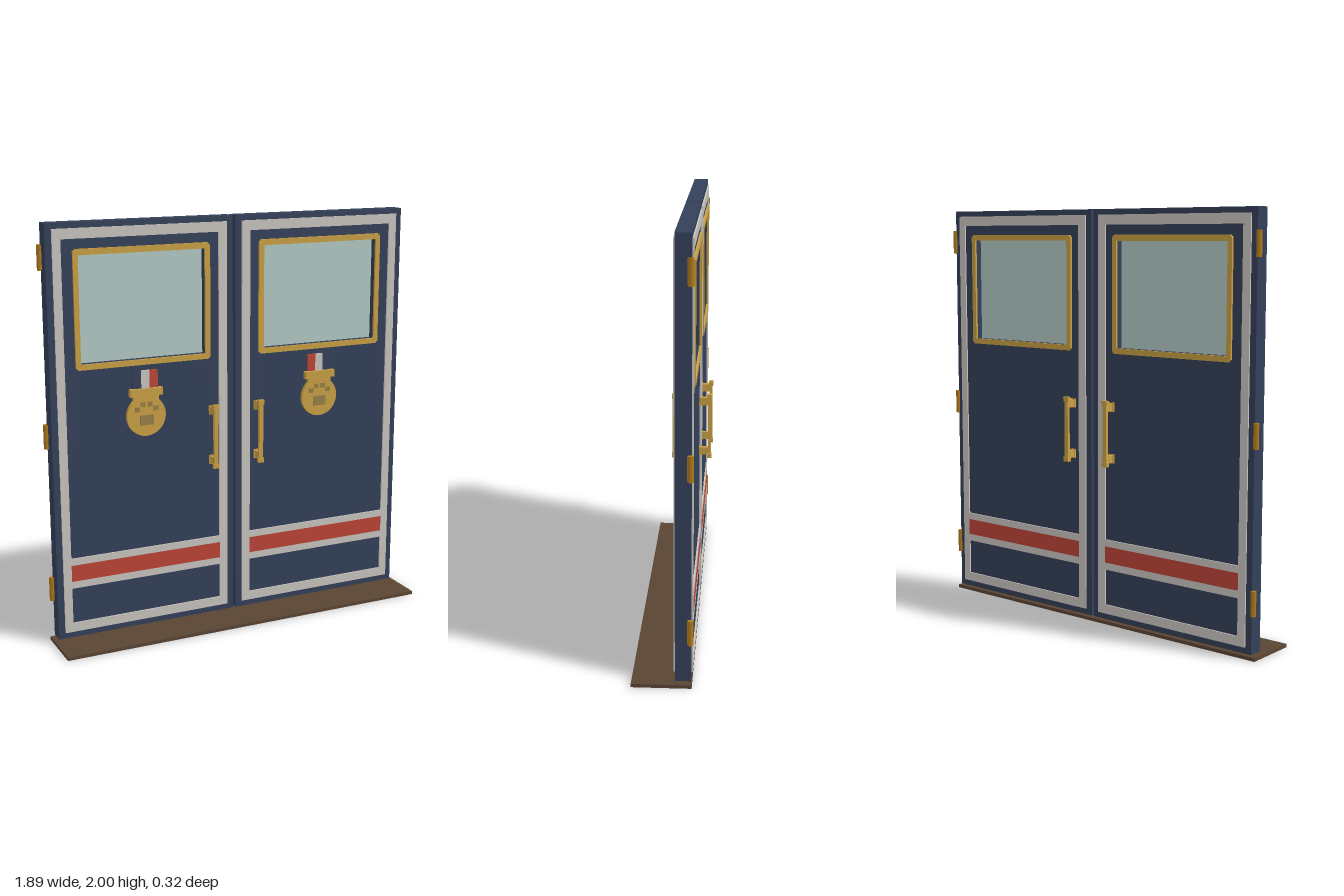
import * as THREE from 'three';

const mat = (name, color) => {
  const m = new THREE.MeshStandardMaterial({ color });
  m.name = name;
  return m;
};

export function createModel() {
  const M = {
    navy: mat('navy paint', 0x344059),
    cream: mat('pale trim', 0xc9c5c0),
    red: mat('red stripe', 0xbd4438),
    gold: mat('gold', 0xc9a044),
    darkGold: mat('dark gold', 0x9a8048),
    bronze: mat('hinge bronze', 0xb07a1c),
    glass: mat('glass', 0xb3c9c3),
    brown: mat('sill brown', 0x5a4533),
  };
  const model = new THREE.Group();
  model.name = 'doubleDoor';

  const FRONT = -0.033, BACK = -0.104, MID = (FRONT + BACK) / 2;

  const add = (parent, name, geo, material, x = 0, y = 0, z = 0) => {
    const mesh = new THREE.Mesh(geo, material);
    mesh.name = name;
    mesh.position.set(x, y, z);
    parent.add(mesh);
    return mesh;
  };
  // box given by its limits
  const box = (parent, name, material, x0, x1, y0, y1, z0, z1) =>
    add(parent, name, new THREE.BoxGeometry(Math.abs(x1 - x0), y1 - y0, z1 - z0), material,
      (x0 + x1) / 2, (y0 + y1) / 2, (z0 + z1) / 2);
  // rectangle outline with optional cut corners
  const rect = (x0, x1, y0, y1, c = 0) => (c
    ? [[x0 + c, y0], [x1 - c, y0], [x1, y0 + c], [x1, y1 - c], [x1 - c, y1], [x0 + c, y1], [x0, y1 - c], [x0, y0 + c]]
    : [[x0, y0], [x1, y0], [x1, y1], [x0, y1]]).map(([x, y]) => new THREE.Vector2(x, y));
  // extruded panel with one opening
  const ring = (parent, name, material, outer, inner, z0, z1) => {
    const shape = new THREE.Shape(outer);
    shape.holes.push(new THREE.Path(inner));
    return add(parent, name, new THREE.ExtrudeGeometry(shape, { depth: z1 - z0, bevelEnabled: false }), material, 0, 0, z0);
  };

  // trim on one face; dir is +1 for the front and -1 for the back
  const faceTrim = (leaf, dir) => {
    const face = dir > 0 ? FRONT : BACK;
    const span = (d) => (dir > 0 ? [face, face + d] : [face - d, face]);
    ring(leaf, 'borderTrim', M.cream, rect(0.04, 0.895, 0.055, 1.974), rect(0.083, 0.855, 0.1, 1.927), ...span(0.007));
    box(leaf, 'upperBand', M.cream, 0.083, 0.855, 0.39, 0.424, ...span(0.007));
    box(leaf, 'redBand', M.red, 0.083, 0.855, 0.31, 0.39, ...span(0.007));
    box(leaf, 'lowerBand', M.cream, 0.083, 0.855, 0.275, 0.31, ...span(0.007));
    ring(leaf, 'windowFrame', M.gold, rect(0.129, 0.802, 1.327, 1.881, 0.012), rect(0.155, 0.778, 1.353, 1.853), ...span(0.011));

    // pull handle
    const handle = new THREE.Group();
    handle.name = 'pullHandle';
    handle.position.set(0.121, 0.948, face);
    if (dir < 0) handle.rotation.y = Math.PI;
    leaf.add(handle);
    box(handle, 'grip', M.gold, -0.011, 0.011, -0.15, 0.15, 0.042, 0.056);
    for (const s of [-1, 1]) {
      const y = s * 0.124;
      box(handle, 'mount', M.gold, -0.011, 0.011, y - 0.018, y + 0.018, 0, 0.045);
      box(handle, 'gripEnd', M.gold, -0.015, 0.015, s * 0.147 - 0.011, s * 0.147 + 0.011, 0.039, 0.059);
      box(handle, 'mountPlate', M.gold, -0.015, 0.015, y - 0.022, y + 0.022, 0, 0.008);
    }
  };

  // medal with ribbon, coin and paw relief
  const medal = (leaf, side) => {
    const g = new THREE.Group();
    g.name = 'medal';
    g.position.set(0.465, 1.083, FRONT);
    leaf.add(g);
    [M.red, M.cream, M.navy].forEach((m, i) => {
      const x = (i - 1) * 0.042;
      box(g, 'ribbonStripe', m, x - 0.021, x + 0.021, 0.125, 0.217, 0, 0.009);
    });
    const coin = add(g, 'coin', new THREE.CylinderGeometry(0.098, 0.098, 0.018, 24), M.gold, 0, 0, 0.009);
    coin.rotation.x = Math.PI / 2;
    box(g, 'neck', M.gold, -0.064, 0.064, 0.07, 0.105, 0, 0.018);
    box(g, 'clasp', M.gold, -0.082, 0.082, 0.096, 0.132, 0, 0.024);
    box(g, 'pawPad', M.darkGold, -0.034, 0.034, -0.044, 0.004, 0.014, 0.023);
    for (const [x, y] of [[-0.047, 0.034], [-0.018, 0.056], [0.018, 0.056], [0.047, 0.034]]) {
      box(g, 'pawToe', M.darkGold, x - 0.011, x + 0.011, y - 0.011, y + 0.011, 0.014, 0.023);
    }
  };

  // leaf built on the +x side; the other one uses negated x positions
  const buildLeaf = () => {
    const leaf = new THREE.Group();
    ring(leaf, 'doorPanel', M.navy, rect(0.007, 0.926, 0.025, 2), rect(0.155, 0.778, 1.353, 1.853), BACK, FRONT);
    box(leaf, 'windowGlass', M.glass, 0.15, 0.783, 1.348, 1.858, MID - 0.006, MID + 0.006);
    faceTrim(leaf, 1);
    faceTrim(leaf, -1);
    medal(leaf);
    for (const y of [0.262, 1.013, 1.843]) {
      add(leaf, 'hingeBarrel', new THREE.CylinderGeometry(0.013, 0.013, 0.116, 8), M.bronze, 0.932, y, -0.101);
      box(leaf, 'hingeLeaf', M.bronze, 0.92, 0.932, y - 0.055, y + 0.055, -0.104, -0.086);
    }
    return leaf;
  };

  const left = buildLeaf();
  left.name = 'leftDoor';
  const right = buildLeaf();
  right.name = 'rightDoor';
  right.scale.x = -1;
  model.add(left, right);

  // floor sill
  box(model, 'sill', M.brown, -0.947, 0.947, 0, 0.016, -0.108, 0.16);
  return model;
}
